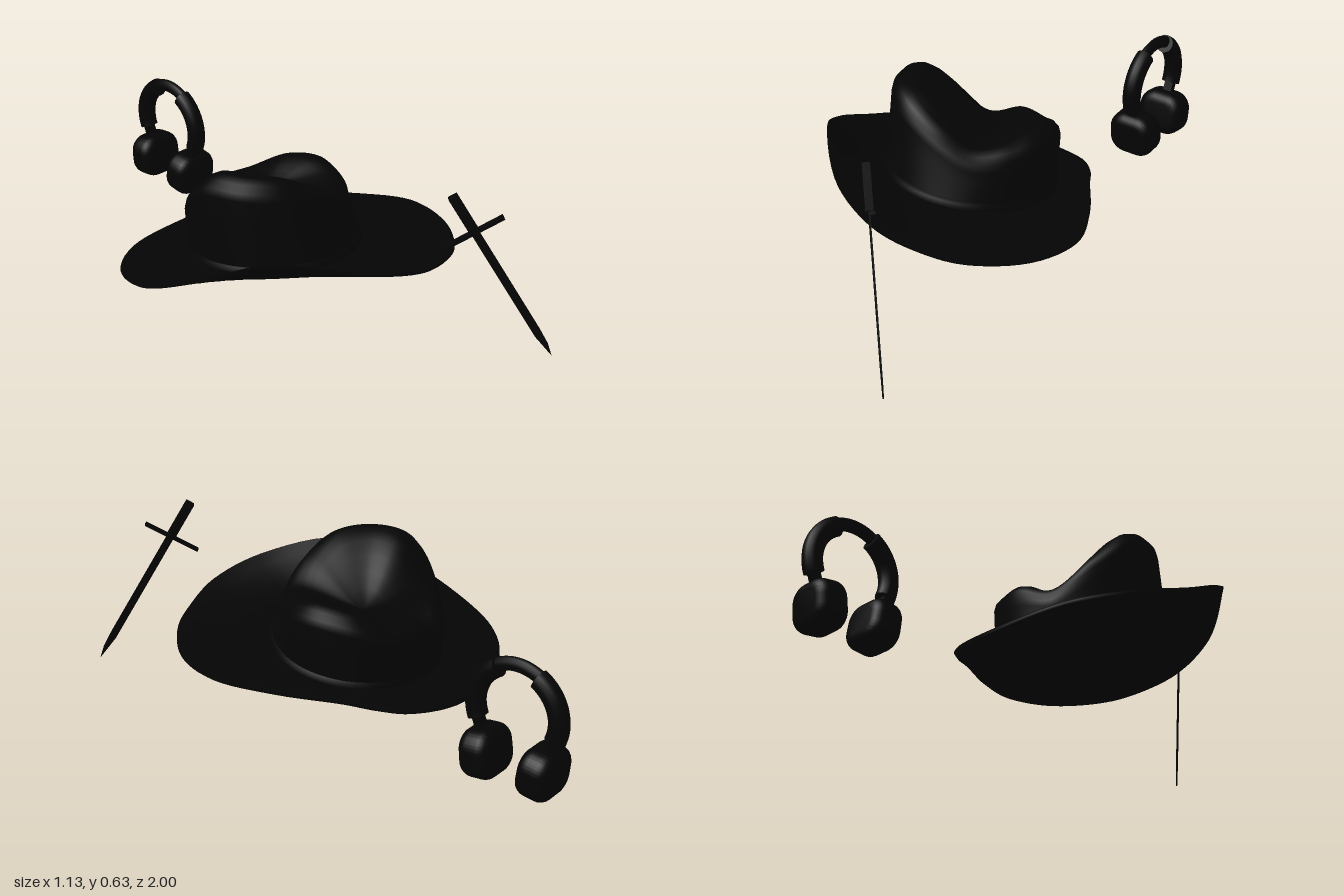
import * as THREE from 'three';
import { toCreasedNormals } from 'three/addons/utils/BufferGeometryUtils.js';

const V = (x, y, z) => new THREE.Vector3(x, y, z);
const black = new THREE.MeshStandardMaterial({ color: 0x040404 });
const blackOpen = new THREE.MeshStandardMaterial({ color: 0x040404, side: THREE.DoubleSide });
const N = 96;

function add(parent, name, geometry, material = black) {
  const mesh = new THREE.Mesh(geometry, material);
  mesh.name = name;
  parent.add(mesh);
  return mesh;
}

// Smooth skin through closed rings of N points
function loft(rows) {
  const pos = rows.flat().flatMap(p => [p.x, p.y, p.z]);
  const index = [];
  for (let i = 0; i < rows.length - 1; i++) {
    for (let j = 0; j < N; j++) {
      const k = (j + 1) % N;
      const a = i * N + j, b = i * N + k, c = a + N, d = b + N;
      index.push(a, c, b, b, c, d);
    }
  }
  const g = new THREE.BufferGeometry();
  g.setAttribute('position', new THREE.Float32BufferAttribute(pos, 3));
  g.setIndex(index);
  g.computeVertexNormals();
  return g;
}

// Tilted base line where crown and brim meet
function baseAt(angle, scale = 1, lift = 0) {
  const x = -0.01 + 0.305 * scale * Math.cos(angle);
  const z = 0.04 + 0.312 * scale * Math.sin(angle);
  return V(x, 0.201 - 0.06 * x + 0.15 * z + lift, z);
}
const ring = f => Array.from({ length: N }, (_, j) => f(j / N));

function buildHat() {
  const hat = new THREE.Group();
  hat.name = 'hat';

  // Brim: edge curve with one rolled-up side, closed underneath
  const edge = new THREE.CatmullRomCurve3([
    V(0.475, 0.198, 0), V(0.56, 0.22, 0.21), V(0.515, 0.23, 0.4), V(0.37, 0.252, 0.565),
    V(0.24, 0.278, 0.63), V(0.08, 0.32, 0.665), V(-0.13, 0.375, 0.607), V(-0.37, 0.42, 0.4),
    V(-0.52, 0.33, 0.195), V(-0.565, 0.225, -0.03), V(-0.5, 0.168, -0.23), V(-0.34, 0.136, -0.37),
    V(-0.04, 0.105, -0.435), V(0.2, 0.134, -0.375), V(0.285, 0.155, -0.295), V(0.345, 0.173, -0.2),
  ], true, 'centripetal');
  // t runs from -1 (centre) through 0 (crown foot) to 1 (edge)
  const brimRow = (t, lift) => ring(u => {
    const e = edge.getPoint(u);
    const out = Math.max(t, 0);
    const b = baseAt(Math.atan2(e.z - 0.04, e.x + 0.01), 1 + Math.min(t, 0));
    const y = THREE.MathUtils.lerp(b.y, e.y, Math.pow(out, 1.3));
    return b.lerp(e, out).setY(y + lift);
  });
  const steps = [0, 0.2, 0.4, 0.6, 0.8, 0.97];
  add(hat, 'brim', loft([
    ...[-1, -0.5, ...steps].map(t => brimRow(t, -0.007)),
    brimRow(1, 0),
    ...steps.slice().reverse().map(t => brimRow(t, 0.007)),
  ]), blackOpen);

  // Crown: uneven top rim, pinched low at the back
  const rimPoints = [
    [0.262, 0.44], [0.262, 0.422], [0.262, 0.417], [0.262, 0.49], [0.273, 0.555], [0.282, 0.572],
    [0.28, 0.552], [0.268, 0.43], [0.262, 0.305], [0.25, 0.355], [0.25, 0.368], [0.256, 0.42],
  ];
  const rimCurve = new THREE.CatmullRomCurve3(rimPoints.map(([r, y], i) => {
    const a = i * Math.PI / 6;
    return V(r * Math.cos(a), y, r * Math.sin(a));
  }), true);
  const rimAt = (u, scale, drop) => {
    const p = rimCurve.getPoint(u);
    return V(p.x * scale, p.y - drop, p.z * scale);
  };
  const wall = t => ring(u => baseAt(u * Math.PI * 2).lerp(rimAt(u, 1.12, 0.055), t));
  const centre = V(0.055, 0.38, -0.055);
  const dish = k => ring(u => {
    const r = rimAt(u, 0.9, -0.007);
    const y = THREE.MathUtils.lerp(centre.y, r.y, k * k * (3 - 2 * k));
    return centre.clone().lerp(r, k).setY(y);
  });
  add(hat, 'crown', loft([
    ...[0, 0.25, 0.5, 0.75, 1].map(wall),
    ring(u => rimAt(u, 1.095, 0.027)),
    ring(u => rimAt(u, 1.02, 0.004)),
    ...[1, 0.88, 0.75, 0.6, 0.45, 0.3, 0.15, 0].map(dish),
  ]), blackOpen);

  // Narrow band around the foot of the crown
  const bandRow = (scale, lift) => ring(u => baseAt(u * Math.PI * 2, scale, lift));
  add(hat, 'hatBand', loft([
    bandRow(1.0, 0), bandRow(1.02, 0.004), bandRow(1.014, 0.028), bandRow(0.97, 0.034),
  ]), blackOpen);
  return hat;
}

// Pillow shape: rounded rectangle with round edges, slightly thinner at the top
function pillow(w, h, d, corner, bevel) {
  const x = w / 2 - bevel - corner, y = h / 2 - bevel - corner;
  const s = new THREE.Shape();
  s.absarc(x, y, corner, 0, Math.PI / 2);
  s.absarc(-x, y, corner, Math.PI / 2, Math.PI);
  s.absarc(-x, -y, corner, Math.PI, Math.PI * 1.5);
  s.absarc(x, -y, corner, Math.PI * 1.5, Math.PI * 2);
  const g = new THREE.ExtrudeGeometry(s, {
    depth: d - 2 * bevel, bevelSize: bevel, bevelThickness: bevel, bevelSegments: 6, curveSegments: 10,
  });
  g.translate(0, 0, bevel - d / 2);
  const p = g.attributes.position;
  for (let i = 0; i < p.count; i++) p.setZ(i, p.getZ(i) * (1 - 0.5 * p.getY(i)));
  return toCreasedNormals(g, 0.7);
}

function buildHeadphones() {
  const phones = new THREE.Group();
  phones.name = 'headphones';
  phones.position.set(0.23, 0.297, -0.81);

  // Thin bridge at the top of the headband
  const bridge = new THREE.TorusGeometry(0.162, 0.024, 12, 32, Math.PI * 0.5);
  bridge.rotateZ(Math.PI * 0.25).rotateY(Math.PI / 2).scale(0.78, 1, 1);
  add(phones, 'headbandBridge', bridge);

  for (const s of [1, -1]) {
    const side = new THREE.Group();
    side.name = s > 0 ? 'frontEarpiece' : 'backEarpiece';
    if (s < 0) side.rotation.y = Math.PI;
    phones.add(side);

    // Padded arm of the headband, with flat ends
    const arc = Math.PI * 0.47, start = -0.39;
    const pad = new THREE.TorusGeometry(0.155, 0.035, 16, 32, arc);
    pad.rotateZ(start).rotateY(-Math.PI / 2);
    add(side, 'headbandPad', pad);
    for (const a of [start, start + arc]) {
      const cap = add(side, 'padEnd', new THREE.CircleGeometry(0.035, 16), blackOpen);
      cap.position.set(0, 0.155 * Math.sin(a), 0.155 * Math.cos(a));
      cap.rotation.x = Math.PI / 2 - a;
    }

    // Slider joining the arm to the cup
    const stem = add(side, 'slider', new THREE.BoxGeometry(0.035, 0.11, 0.028));
    stem.position.set(0, -0.087, 0.134);
    stem.rotation.x = 0.35;

    // Cushioned ear cup
    const cup = add(side, 'earCup', pillow(0.19, 0.172, 0.118, 0.028, 0.04));
    cup.position.set(0, -0.174, 0.109);
    cup.rotation.x = 0.12;
  }
  return phones;
}

function buildSword() {
  const sword = new THREE.Group();
  sword.name = 'sword';
  const up = V(-0.274, 0.625, -0.266).normalize();
  const across = V(0.155, 0.11, 0.14);
  across.addScaledVector(up, -across.dot(up)).normalize();
  const basis = new THREE.Matrix4().makeBasis(across, up, across.clone().cross(up));
  sword.quaternion.setFromRotationMatrix(basis);
  sword.position.set(0.388, 0.002, 0.998);

  // Thin flat blade with a slanted point
  const outline = new THREE.Shape([[0, 0], [0.011, 0.05], [0.014, 0.12], [0.014, 0.58],
    [-0.014, 0.58], [-0.014, 0.1]].map(([x, y]) => new THREE.Vector2(x, y)));
  const blade = new THREE.ExtrudeGeometry(outline, { depth: 0.005, bevelEnabled: false });
  add(sword, 'blade', blade.translate(0, 0, -0.0025));

  add(sword, 'crossGuard', new THREE.BoxGeometry(0.222, 0.011, 0.022)).position.set(-0.005, 0.573, 0);
  add(sword, 'grip', new THREE.BoxGeometry(0.032, 0.154, 0.026)).position.y = 0.65;
  return sword;
}

export function createModel() {
  const model = new THREE.Group();
  model.name = 'hatHeadphonesAndSword';
  model.add(buildHat(), buildHeadphones(), buildSword());
  return model;
}
